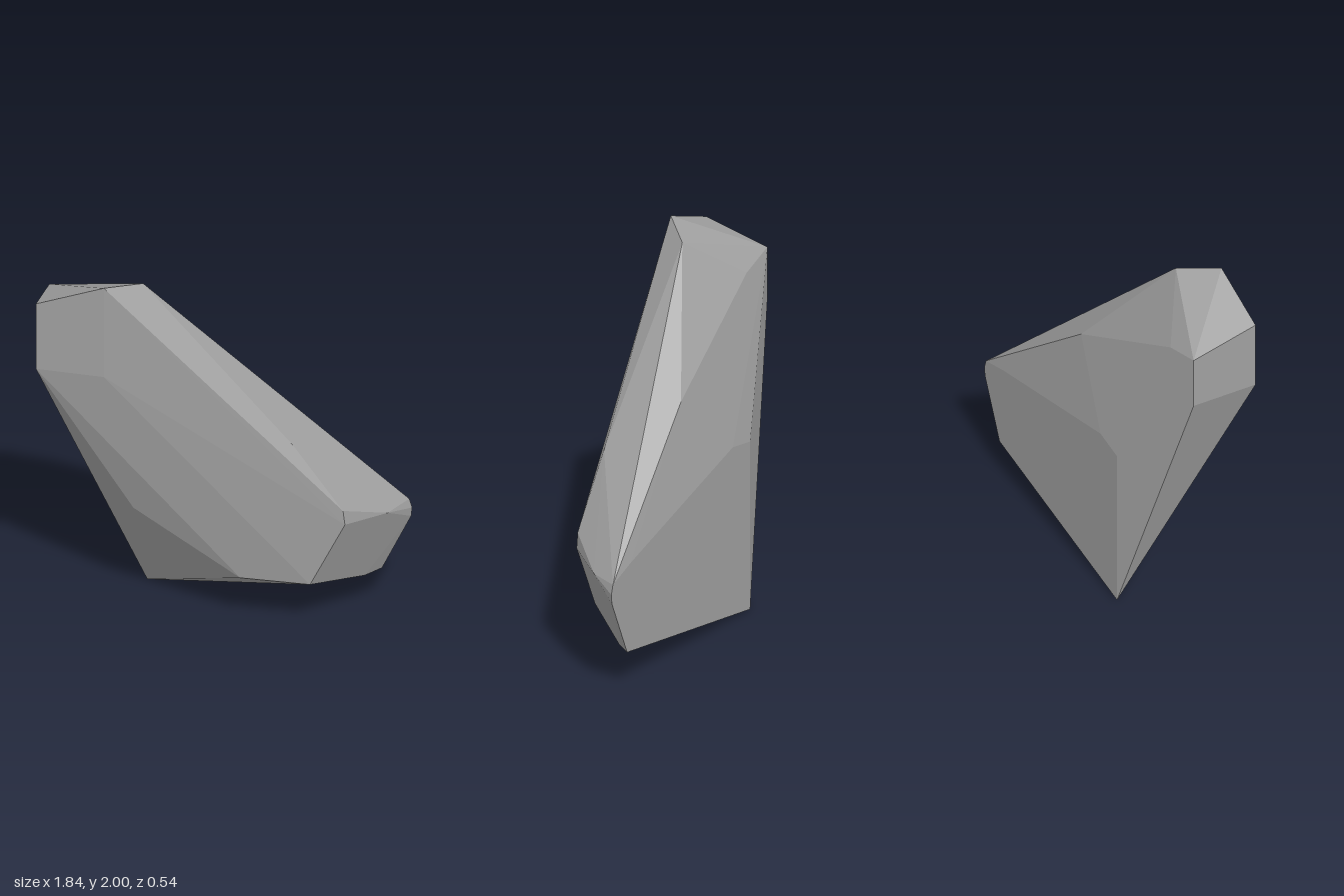
import * as THREE from 'three';
import { ConvexGeometry } from 'three/addons/geometries/ConvexGeometry.js';

export function createModel() {
  const group = new THREE.Group();
  group.name = 'rockShard';

  const stone = new THREE.MeshStandardMaterial({ color: 0xa0a0a0 });
  stone.name = 'stoneGrey';

  // Corners of the faceted stone, by region
  const crown = [
    [-0.92, 1.87, 0.27], [-0.57, 2.0, 0.27], [-0.4, 1.95, 0.1],
    [-0.92, 1.78, -0.09], [-0.92, 1.49, 0.27], [-0.57, 1.48, 0.27], [-0.92, 1.49, -0.09],
  ];
  const frontFace = [
    [-0.45, 0.63, 0.1], [0.1, 0.28, 0.1], [0.46, 0.28, 0.1],
    [0.64, 0.65, 0.1], [0.63, 0.73, 0.1], [0.37, 1.09, 0.1],
  ];
  const rightEnd = [
    [0.69, 0.65, 0.04], [0.82, 0.62, -0.11], [0.69, 0.2, -0.18],
    [0.76, 0.2, -0.27], [0.91, 0.52, -0.27], [0.915, 0.57, -0.27], [0.9, 0.62, -0.27],
  ];
  const backFace = [
    [-0.45, 0, -0.27], [-0.45, 0.92, -0.27], [-0.28, 0.95, -0.27],
    [0.72, 0.68, -0.27], [0.08, 1.31, -0.18], [-0.7, 1.72, -0.1],
  ];

  // One convex, flat-faceted body
  const corners = [...crown, ...frontFace, ...rightEnd, ...backFace].map((p) => new THREE.Vector3(...p));
  const rock = new THREE.Mesh(new ConvexGeometry(corners), stone);
  rock.name = 'rock';
  group.add(rock);
  return group;
}
